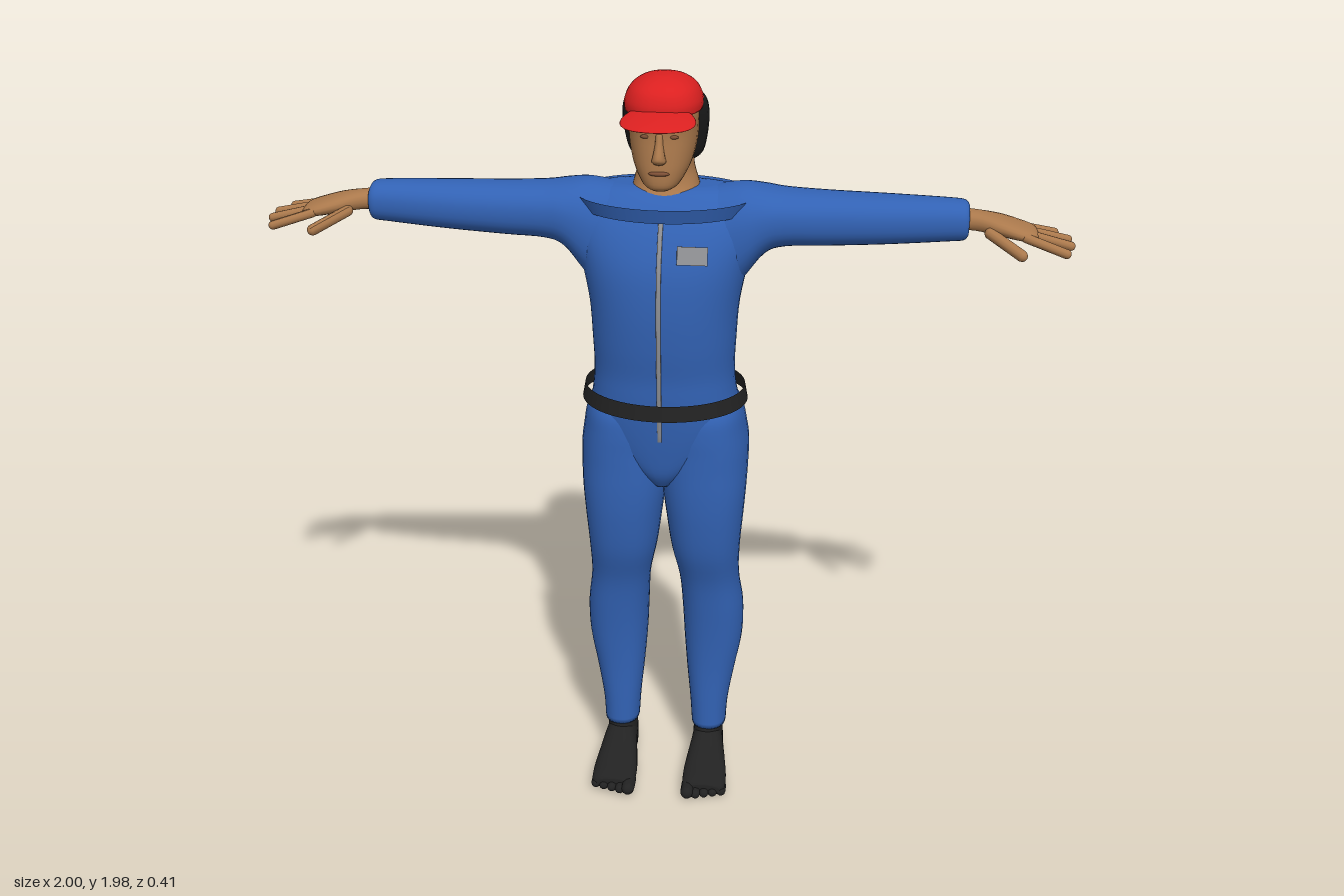
import * as THREE from 'three';

const mat = (name, color, side = THREE.FrontSide) => {
  const m = new THREE.MeshStandardMaterial({ color, side });
  m.name = name;
  return m;
};
const cloth = mat('blueCloth', 0x3262b4, THREE.DoubleSide);
const skin = mat('skin', 0xab794c);
const lipSkin = mat('darkSkin', 0x7d4f35);
const dark = mat('blackLeather', 0x222222, THREE.DoubleSide);
const hairBlack = mat('blackHair', 0x1d1d1d);
const red = mat('redCap', 0xdb2020);
const grey = mat('greyMetal', 0x8f9094);

// Maps section coordinates (u, v) and the distance t along an axis to x, y, z
const place = {
  x: (t, u, v) => [t, u, v],
  y: (t, u, v) => [v, t, u],
  z: (t, u, v) => [u, v, t],
};

// Smooth closed body through rows of [t, uMin, uMax, vMin, vMax]
function loft(axis, rows, { sides = 32, steps = 4, power = 2.3 } = {}) {
  const pos = [], index = [], rings = [];
  const row = (i) => rows[Math.min(Math.max(i, 0), rows.length - 1)];
  for (let i = 0; i < rows.length - 1; i++) {
    for (let s = 0; s < steps; s++) {
      const f = s / steps;
      rings.push(rows[i].map((_, k) => {
        const [a, b, c, d] = [row(i - 1)[k], row(i)[k], row(i + 1)[k], row(i + 2)[k]];
        return b + 0.5 * f * (c - a + f * (2 * a - 5 * b + 4 * c - d + f * (3 * (b - c) + d - a)));
      }));
    }
  }
  rings.push(rows[rows.length - 1]);
  const bend = (w) => Math.sign(w) * Math.abs(w) ** (2 / power);
  for (const [t, u0, u1, v0, v1] of rings) {
    for (let j = 0; j < sides; j++) {
      const a = (j / sides) * Math.PI * 2;
      pos.push(...place[axis](t,
        (u0 + u1) / 2 + bend(Math.cos(a)) * (u1 - u0) / 2,
        (v0 + v1) / 2 + bend(Math.sin(a)) * (v1 - v0) / 2));
    }
  }
  const last = (rings.length - 1) * sides, centre = rings.length * sides;
  for (const [t, u0, u1, v0, v1] of [rings[0], rings[rings.length - 1]]) {
    pos.push(...place[axis](t, (u0 + u1) / 2, (v0 + v1) / 2));
  }
  for (let j = 0; j < sides; j++) {
    const n = (j + 1) % sides;
    for (let i = 0; i < rings.length - 1; i++) {
      const a = i * sides + j, b = i * sides + n;
      index.push(a, b, b + sides, a, b + sides, a + sides);
    }
    index.push(centre, n, j, centre + 1, last + j, last + n);
  }
  const g = new THREE.BufferGeometry();
  g.setAttribute('position', new THREE.Float32BufferAttribute(pos, 3));
  g.setIndex(index);
  g.computeVertexNormals();
  return g;
}

// Rows of [y, back, front, halfWidth] for parts centred on x = 0
const centred = (rows, options) => loft('y', rows.map(([y, b, f, w]) => [y, b, f, -w, w]), options);

// Mirror image across x = 0 with the winding put right
function mirrored(geo) {
  const g = geo.clone().scale(-1, 1, 1), ix = g.index.array;
  for (let i = 0; i < ix.length; i += 3) [ix[i], ix[i + 1]] = [ix[i + 1], ix[i]];
  g.computeVertexNormals();
  return g;
}

// Rounded rod between two points
function rod(a, b, r) {
  const p = new THREE.Vector3(...a), d = new THREE.Vector3(...b).sub(p), len = d.length();
  const g = new THREE.CapsuleGeometry(r, Math.max(len - 2 * r, 0.001), 5, 10);
  g.applyQuaternion(new THREE.Quaternion().setFromUnitVectors(new THREE.Vector3(0, 1, 0), d.clone().normalize()));
  return g.translate(...p.addScaledVector(d, 0.5).toArray());
}

export function createModel() {
  const model = new THREE.Group();
  const add = (name, geo, material) => {
    const m = new THREE.Mesh(geo, material);
    m.name = name;
    model.add(m);
    return m;
  };
  const pair = (name, geo, material) => {
    add('left' + name, geo, material);
    add('right' + name, mirrored(geo), material);
  };

  // Overalls: torso, sleeves, trouser legs
  add('torso', centred([
    [0.90, -0.06, 0.06, 0.03], [0.94, -0.11, 0.085, 0.08], [1.0, -0.15, 0.097, 0.16],
    [1.08, -0.165, 0.107, 0.195], [1.16, -0.155, 0.113, 0.185], [1.22, -0.15, 0.115, 0.18],
    [1.3, -0.16, 0.125, 0.183], [1.4, -0.17, 0.13, 0.19], [1.5, -0.175, 0.122, 0.21],
    [1.58, -0.165, 0.095, 0.23], [1.64, -0.15, 0.06, 0.225], [1.68, -0.125, 0.02, 0.18],
    [1.69, -0.1, -0.01, 0.12],
  ], { sides: 48 }), cloth);
  pair('Sleeve', loft('x', [
    [0.08, 1.36, 1.68, -0.145, 0.06], [0.15, 1.4, 1.693, -0.15, 0.06], [0.2, 1.46, 1.698, -0.148, 0.058],
    [0.25, 1.525, 1.692, -0.142, 0.05], [0.3, 1.545, 1.686, -0.13, 0.042], [0.4, 1.55, 1.682, -0.12, 0.035],
    [0.55, 1.56, 1.68, -0.107, 0.03], [0.7, 1.573, 1.677, -0.09, 0.02], [0.735, 1.577, 1.673, -0.085, 0.016],
    [0.745, 1.588, 1.662, -0.075, 0.006],
  ]), cloth);
  pair('TrouserLeg', loft('y', [
    [0.125, -0.11, 0.015, 0.075, 0.17], [0.2, -0.115, 0.015, 0.07, 0.175], [0.3, -0.13, 0.015, 0.06, 0.192],
    [0.4, -0.145, 0.02, 0.052, 0.21], [0.5, -0.142, 0.03, 0.047, 0.212], [0.6, -0.12, 0.045, 0.04, 0.2],
    [0.7, -0.115, 0.075, 0.02, 0.202], [0.8, -0.125, 0.09, 0.006, 0.21], [0.88, -0.135, 0.095, -0.004, 0.216],
    [0.95, -0.165, 0.095, -0.008, 0.219], [1.0, -0.185, 0.095, -0.004, 0.219], [1.05, -0.178, 0.095, 0, 0.212],
    [1.1, -0.155, 0.09, 0.01, 0.203], [1.14, -0.12, 0.07, 0.03, 0.187],
  ]), cloth);

  // Flared collar and loose belt as open oval bands
  const band = (name, low, high, rx, rz, z, material) => {
    const pts = [low, high].map(([r, y]) => new THREE.Vector2(r, y));
    add(name, new THREE.LatheGeometry(pts, 64).scale(rx, 1, rz).translate(0, 0, z), material);
  };
  band('collar', [0.93, 1.633], [1, 1.67], 0.228, 0.153, -0.037, cloth);
  band('belt', [1, 1.124], [0.965, 1.165], 0.214, 0.173, -0.028, dark);

  // Zip and chest badge
  add('zip', centred([
    [1.05, 0.1], [1.16, 0.114], [1.3, 0.127], [1.4, 0.132], [1.5, 0.124], [1.58, 0.097], [1.64, 0.062],
  ].map(([y, z]) => [y, z - 0.004, z + 0.005, 0.006]), { sides: 8, power: 5 }), grey);
  const badge = add('chestBadge', new THREE.BoxGeometry(0.075, 0.045, 0.008), grey);
  badge.position.set(0.08, 1.553, 0.103);
  badge.rotation.set(-0.33, 0.2, 0);

  // Feet with toes
  pair('Ankle', loft('y', [
    [0.03, -0.105, 0.03, 0.08, 0.165], [0.09, -0.105, 0.02, 0.08, 0.162], [0.16, -0.1, 0.005, 0.085, 0.16],
  ]), dark);
  pair('Foot', loft('z', [
    [-0.117, 0.105, 0.138, 0.02, 0.07], [-0.105, 0.088, 0.155, 0.004, 0.1], [-0.05, 0.08, 0.162, 0, 0.125],
    [0, 0.077, 0.168, 0, 0.122], [0.05, 0.07, 0.177, 0, 0.092], [0.1, 0.065, 0.184, 0, 0.066],
    [0.145, 0.068, 0.184, 0, 0.048], [0.158, 0.08, 0.17, 0.006, 0.035],
  ]), dark);
  for (let i = 0; i < 5; i++) {
    const x = 0.082 + i * 0.023, r = i ? 0.013 : 0.018;
    pair('Toe' + (i + 1), rod([x, r + 0.003, 0.11], [x, r, 0.188 - i * 0.007], r), dark);
  }

  // Hands
  pair('Palm', loft('x', [
    [0.7, 1.602, 1.655, -0.07, 0], [0.76, 1.603, 1.652, -0.066, 0.005], [0.82, 1.598, 1.643, -0.074, 0.032],
    [0.87, 1.592, 1.63, -0.07, 0.045], [0.9, 1.592, 1.62, -0.06, 0.038], [0.91, 1.598, 1.612, -0.045, 0.025],
  ], { sides: 20 }), skin);
  const fingers = {
    IndexFinger: [[0.87, 1.61, 0.033], [0.987, 1.577, 0.066], 0.0115],
    MiddleFinger: [[0.87, 1.612, 0.007], [1.0, 1.583, 0.02], 0.0115],
    RingFinger: [[0.87, 1.612, -0.022], [0.995, 1.587, -0.022], 0.011],
    LittleFinger: [[0.86, 1.612, -0.052], [0.965, 1.592, -0.062], 0.01],
    Thumb: [[0.785, 1.615, 0.012], [0.88, 1.573, 0.09], 0.014],
  };
  for (const [name, [a, b, r]] of Object.entries(fingers)) pair(name, rod(a, b, r), skin);

  // Neck and head
  add('neck', centred([
    [1.6, -0.14, 0.02, 0.08], [1.66, -0.145, 0.03, 0.088], [1.7, -0.118, 0.01, 0.08],
    [1.74, -0.108, 0.005, 0.07], [1.8, -0.1, 0.02, 0.068],
  ]), skin);
  add('head', centred([
    [1.712, 0.045, 0.098, 0.022], [1.725, 0.0, 0.112, 0.044], [1.76, -0.06, 0.114, 0.066],
    [1.8, -0.1, 0.111, 0.079], [1.85, -0.11, 0.107, 0.085], [1.9, -0.11, 0.11, 0.086],
    [1.94, -0.09, 0.085, 0.07], [1.955, -0.04, 0.04, 0.03],
  ]), skin);
  add('nose', centred([
    [1.782, 0.09, 0.118, 0.012], [1.79, 0.09, 0.132, 0.018], [1.802, 0.09, 0.136, 0.015],
    [1.83, 0.09, 0.121, 0.01], [1.855, 0.09, 0.111, 0.009],
  ], { sides: 14, power: 2 }), skin);
  add('lips', new THREE.SphereGeometry(1, 16, 8).scale(0.026, 0.006, 0.008).translate(0, 1.76, 0.112), lipSkin);
  const brow = new THREE.BoxGeometry(0.036, 0.007, 0.008).rotateZ(0.12).rotateY(0.3);
  pair('Eyebrow', brow.translate(0.035, 1.864, 0.102), hairBlack);
  pair('Eye', new THREE.SphereGeometry(1, 12, 8).scale(0.012, 0.005, 0.005).translate(0.034, 1.847, 0.1), lipSkin);

  // Hair round the back and sides
  add('hair', centred([
    [1.748, -0.1, -0.04, 0.066], [1.77, -0.113, -0.012, 0.09], [1.82, -0.12, 0.015, 0.102],
    [1.87, -0.124, 0.04, 0.106], [1.905, -0.118, 0.055, 0.1], [1.925, -0.1, 0.045, 0.085],
  ]), hairBlack);

  // Cap crown and drooping brim
  add('capCrown', centred([
    [1.897, -0.112, 0.115, 0.094], [1.92, -0.112, 0.114, 0.094], [1.948, -0.096, 0.1, 0.08],
    [1.967, -0.065, 0.07, 0.053], [1.977, -0.02, 0.03, 0.02],
  ]), red);
  const brim = new THREE.SphereGeometry(1, 32, 16).scale(0.09, 0.008, 0.077).translate(0, 1.907, 0.131);
  const p = brim.attributes.position;
  for (let i = 0; i < p.count; i++) {
    p.setY(i, p.getY(i) - 0.18 * (p.getZ(i) - 0.09) - 1.2 * p.getX(i) ** 2);
  }
  brim.computeVertexNormals();
  add('capBrim', brim, red);

  return model;
}
